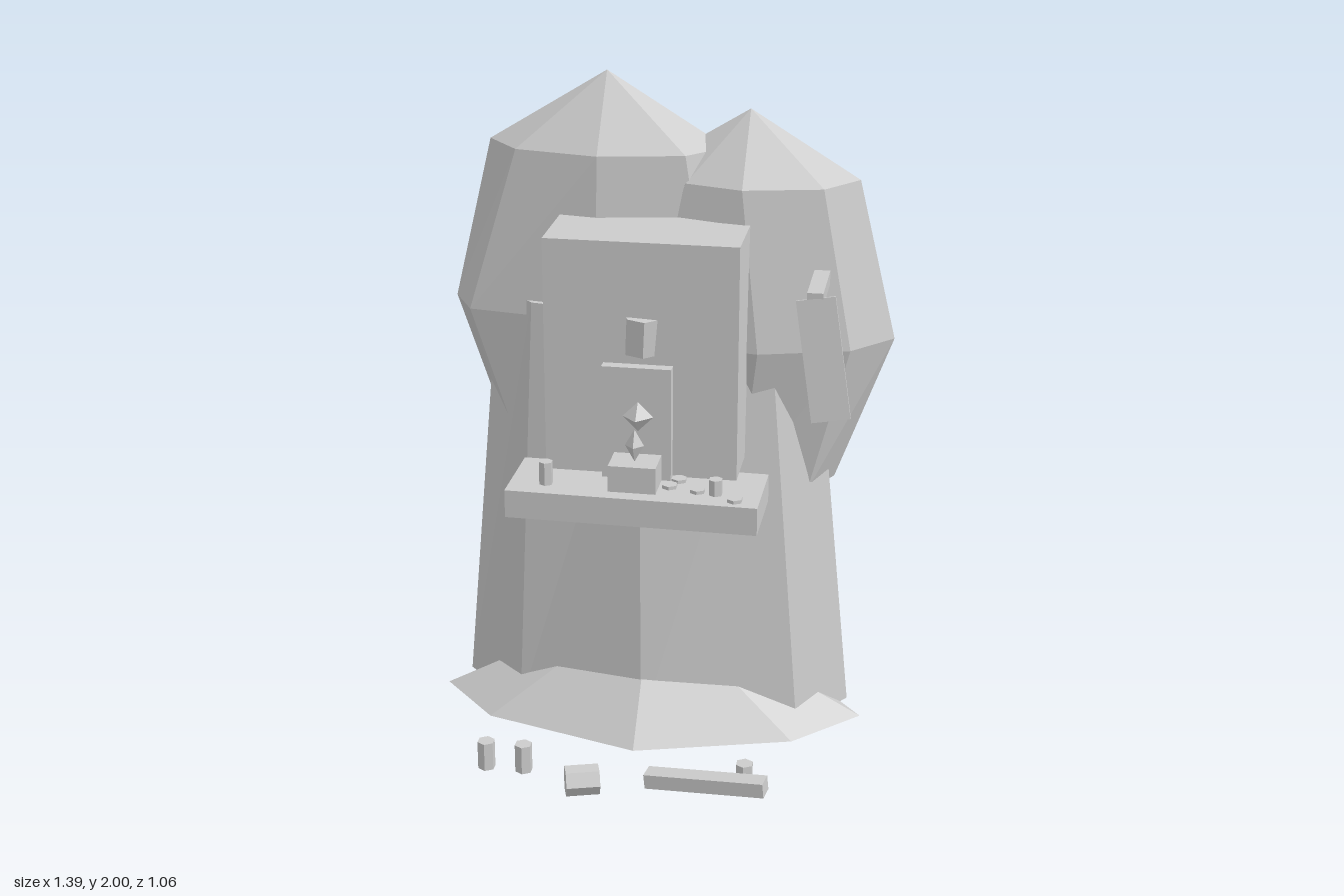
import * as THREE from 'three';

const stone = new THREE.MeshStandardMaterial({ color: 0xcccccc, flatShading: true });
stone.name = 'pale grey';

// Faceted solid through octagonal rings [y, centreX, centreZ, radiusX, radiusZ, nudges], bottom to top.
// Corners count from +x towards the front; nudges maps a corner to a small [dx, dz] shift.
function loft(rings, sides = 8) {
  const pos = [];
  const point = ([y, cx, cz, rx, rz, nudges = {}], i) => {
    const a = (i / sides) * Math.PI * 2;
    const [dx, dz] = nudges[i % sides] ?? [0, 0];
    return [cx + rx * Math.cos(a) + dx, y, cz + rz * Math.sin(a) + dz];
  };
  for (let r = 0; r < rings.length - 1; r++) {
    const lo = rings[r], hi = rings[r + 1];
    for (let i = 0; i < sides; i++) {
      if (lo[3] > 0) pos.push(...point(lo, i), ...point(hi, i), ...point(lo, i + 1));
      if (hi[3] > 0) pos.push(...point(hi, i), ...point(hi, i + 1), ...point(lo, i + 1));
    }
  }
  const g = new THREE.BufferGeometry();
  g.setAttribute('position', new THREE.Float32BufferAttribute(pos, 3));
  g.computeVertexNormals();
  return g;
}

export function createModel() {
  const model = new THREE.Group();
  model.name = 'cliffShrine';

  const add = (name, geometry, p = [0, 0, 0], rot = [0, 0, 0]) => {
    const mesh = new THREE.Mesh(geometry, stone);
    mesh.name = name;
    mesh.position.set(...p);
    mesh.rotation.set(...rot);
    model.add(mesh);
    return mesh;
  };
  const box = (name, size, p, rot) => add(name, new THREE.BoxGeometry(...size), p, rot);
  const post = (name, r, h, p, rot) => add(name, new THREE.CylinderGeometry(r, r, h, 6), p, rot);

  // Tapering rock column and the sloping rubble at its foot
  add('rockColumn', loft([
    [0, -0.03, -0.235, 0, 0],
    [0, -0.03, -0.235, 0.62, 0.29,
      { 1: [0.04, 0], 2: [0, 0.015], 3: [0.03, 0], 5: [0.05, -0.03], 7: [0.05, -0.01] }],
    [1.33, -0.05, -0.245, 0.48, 0.215, { 0: [0.02, 0], 1: [0.04, -0.01], 5: [0.03, 0] }],
    [1.33, -0.05, -0.245, 0, 0],
  ]));
  add('footRubble', loft([
    [0, -0.03, -0.125, 0, 0],
    [0, -0.03, -0.125, 0.67, 0.335, { 1: [0, -0.04], 3: [-0.01, -0.04] }],
    [0.365, -0.03, -0.125, 0, 0],
  ]));

  // Two overlapping boulders on top
  add('tallBoulder', loft([
    [0.73, -0.19, -0.3, 0, 0],
    [0.76, -0.19, -0.3, 0.31, 0.165, { 3: [-0.02, 0.02] }],
    [1.285, -0.19, -0.29, 0.475, 0.215, { 3: [-0.065, 0], 4: [0, 0.02], 5: [-0.1, -0.02] }],
    [1.78, -0.19, -0.29, 0.36, 0.175],
    [2, -0.19, -0.29, 0, 0],
  ]));
  add('shortBoulder', loft([
    [0.715, 0.24, -0.3, 0, 0],
    [0.745, 0.24, -0.3, 0.28, 0.16, { 1: [0.01, 0.02] }],
    [1.22, 0.24, -0.28, 0.45, 0.23, { 0: [0, 0.015], 1: [0.01, -0.01], 2: [0.06, 0], 7: [0.02, 0.015] }],
    [1.7, 0.24, -0.285, 0.33, 0.18, { 3: [0.06, 0] }],
    [1.9, 0.24, -0.29, 0, 0],
  ]));

  // Shrine house, ledge, door and window
  box('house', [0.57, 0.71, 0.4], [-0.018, 1.245, -0.07]);
  box('ledge', [0.74, 0.085, 0.255], [-0.018, 0.843, 0.18], [0, -0.012, 0]);
  box('door', [0.205, 0.345, 0.035], [-0.025, 1.0625, 0.147]);
  post('window', 0.055, 0.11, [-0.017, 1.32, 0.107], [0.05, 0.25, -0.05]);

  // Altar with a flame and a gem above it
  box('altar', [0.14, 0.08, 0.12], [-0.02, 0.93, 0.212]);
  add('flame', new THREE.OctahedronGeometry(1), [-0.02, 1.018, 0.22]).scale.set(0.028, 0.05, 0.028);
  add('gem', new THREE.OctahedronGeometry(0.045), [-0.018, 1.09, 0.175]);

  // Candles and offering coins on the ledge
  post('candle', 0.021, 0.07, [-0.28, 0.922, 0.235]);
  post('candle', 0.021, 0.048, [0.22, 0.912, 0.235]);
  for (const [x, z] of [[0.1, 0.15], [0.08, 0.2], [0.165, 0.22], [0.28, 0.27]])
    post('coin', 0.024, 0.012, [x, 0.89, z]);

  // Signpost arm with a hanging banner
  box('bannerArm', [0.045, 0.04, 0.215], [0.494, 1.505, 0.17]);
  box('banner', [0.11, 0.345, 0.012], [0.524, 1.34, 0.297], [-0.15, 0, 0.165]);

  // Loose posts, beam and log on the ground in front
  for (const x of [-0.45, -0.335, 0.335]) post('groundPost', 0.027, 0.09, [x, 0.045, 0.375]);
  box('fallenBeam', [0.365, 0.045, 0.055], [0.23, 0.06, 0.45], [0, -0.15, 0.1]);
  const log = post('log', 0.045, 0.1, [-0.135, 0.045, 0.475]);
  log.rotation.set(0, 0.3, Math.PI / 2);

  return model;
}
